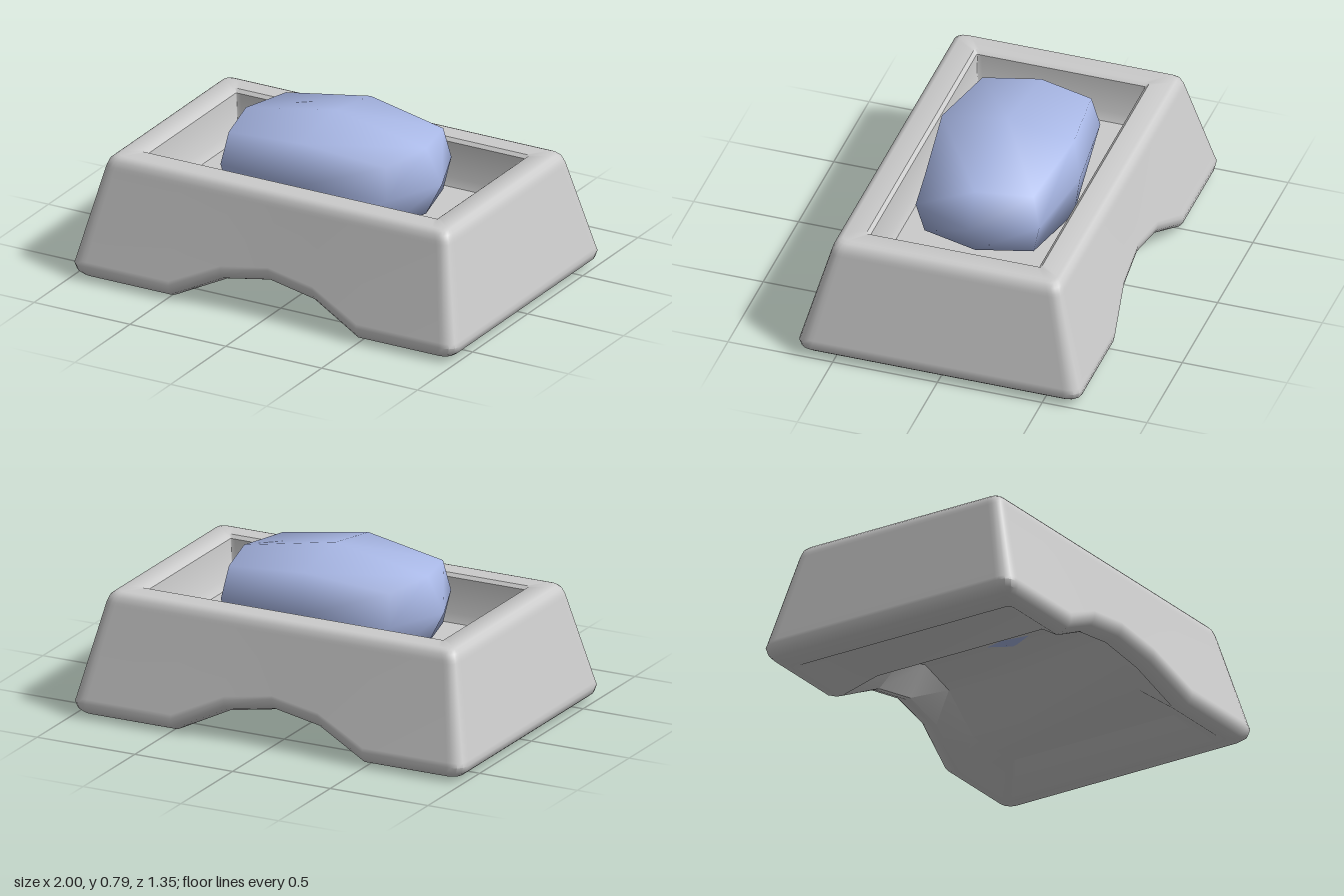
import * as THREE from 'three';
import { mergeVertices, toCreasedNormals } from 'three/addons/utils/BufferGeometryUtils.js';

const STOPS = [0.49, 0.24, 0, -0.24, -0.49]; // x stations of the arch
const LIFT = [0, 0.12, 0.16, 0.12, 0];       // arch height at each station

// Rounded rectangle whose long sides rise along the arch; back mirrors front.
function ring([hx, hz, y, r, arch = 0, k = 1, lean = 0.33]) {
  const arc = [0, 1, 2, 3].map((i) => {
    const a = (i * Math.PI) / 6;
    return [hx - r + r * Math.cos(a), y, hz - r + r * Math.sin(a)];
  });
  // Points just beyond the arc keep the walls flat up to the rounding
  const corner = [[hx, y, hz - r - 0.02], ...arc, [hx - r - 0.02, y, hz]];
  const side = STOPS.map((x, i) => [x * k, y + LIFT[i] * arch, hz - lean * LIFT[i] * arch]);
  const left = corner.map(([x, py, z]) => [-x, py, z]).reverse();
  const front = [...corner, ...side, ...left];
  const back = front.map(([x, py, z]) => [x, py, -z]).reverse();
  return [...front, ...back];
}

function loft(profile) {
  const rings = profile.map(ring);
  const n = rings[0].length;
  const last = (rings.length - 1) * n;
  const index = [];
  for (let j = 0; j < rings.length - 1; j++) {
    for (let i = 0; i < n; i++) {
      const a = j * n + i, b = j * n + ((i + 1) % n);
      index.push(a, a + n, b, b, a + n, b + n);
    }
  }
  // Both ends close with strips running from front to back
  for (let i = 0; i < n / 2 - 1; i++) {
    const p = i, p2 = i + 1, q = n - 1 - i, q2 = n - 2 - i;
    index.push(p, p2, q, p2, q2, q);
    index.push(last + p, last + q, last + p2, last + p2, last + q, last + q2);
  }
  const geo = new THREE.BufferGeometry();
  geo.setAttribute('position', new THREE.Float32BufferAttribute(rings.flat(2), 3));
  geo.setIndex(index);
  return toCreasedNormals(geo, 0.75);
}

// Half width, half depth, height, corner radius, arch amount, station scale, lean
const DISH = [
  [0.7, 0.45, 0.1, 0.01, 1.3, 0.8, 0],    // underside hollow
  [0.855, 0.585, 0.004, 0.03, 1, 0.97],   // inner foot edge
  [0.88, 0.605, 0, 0.04, 1],              // foot
  [0.965, 0.65, 0.018, 0.05, 1],
  [0.99, 0.668, 0.038, 0.055, 1],
  [1, 0.675, 0.07, 0.055, 1],
  [0.995, 0.669, 0.09, 0.055, 0.96],      // sloping wall
  [0.9, 0.553, 0.515, 0.04],
  [0.896, 0.549, 0.53, 0.04],
  [0.886, 0.54, 0.555, 0.04],
  [0.868, 0.525, 0.57, 0.035],
  [0.85, 0.51, 0.575, 0.03],              // rim
  [0.77, 0.418, 0.575, 0.004],
  [0.752, 0.402, 0.56, 0.004],            // recess wall
  [0.742, 0.395, 0.39, 0.004],
  [0.72, 0.378, 0.35, 0.004],             // recess floor
];

// A 2 x 2 x 2 grid box pulled in at its edges and corners
function soapGeometry() {
  const box = new THREE.BoxGeometry(2, 2, 2, 2, 2, 2);
  box.deleteAttribute('normal');
  box.deleteAttribute('uv');
  const geo = mergeVertices(box);
  const p = geo.attributes.position;
  for (let i = 0; i < p.count; i++) {
    const x = p.getX(i), y = p.getY(i), z = p.getZ(i);
    const ax = Math.abs(x), ay = Math.abs(y), az = Math.abs(z);
    const sx = 0.553 - 0.083 * ay - 0.12 * az + 0.06 * ay * az;
    const sy = 0.25 - 0.09 * ax - 0.05 * az + 0.04 * ax * az;
    const sz = 0.345 - 0.03 * ay - 0.05 * ax - 0.005 * ax * ay;
    p.setXYZ(i, x * sx, y * sy, z * sz);
  }
  geo.computeVertexNormals();
  return geo;
}

export function createModel() {
  const group = new THREE.Group();
  group.name = 'soapDish';

  const dish = new THREE.Mesh(loft(DISH), new THREE.MeshStandardMaterial({ color: 0xcccccc }));
  dish.name = 'dish';

  const soap = new THREE.Mesh(soapGeometry(), new THREE.MeshStandardMaterial({ color: 0xa9b8e6 }));
  soap.name = 'soapBar';
  soap.position.y = 0.54;

  group.add(dish, soap);
  return group;
}
